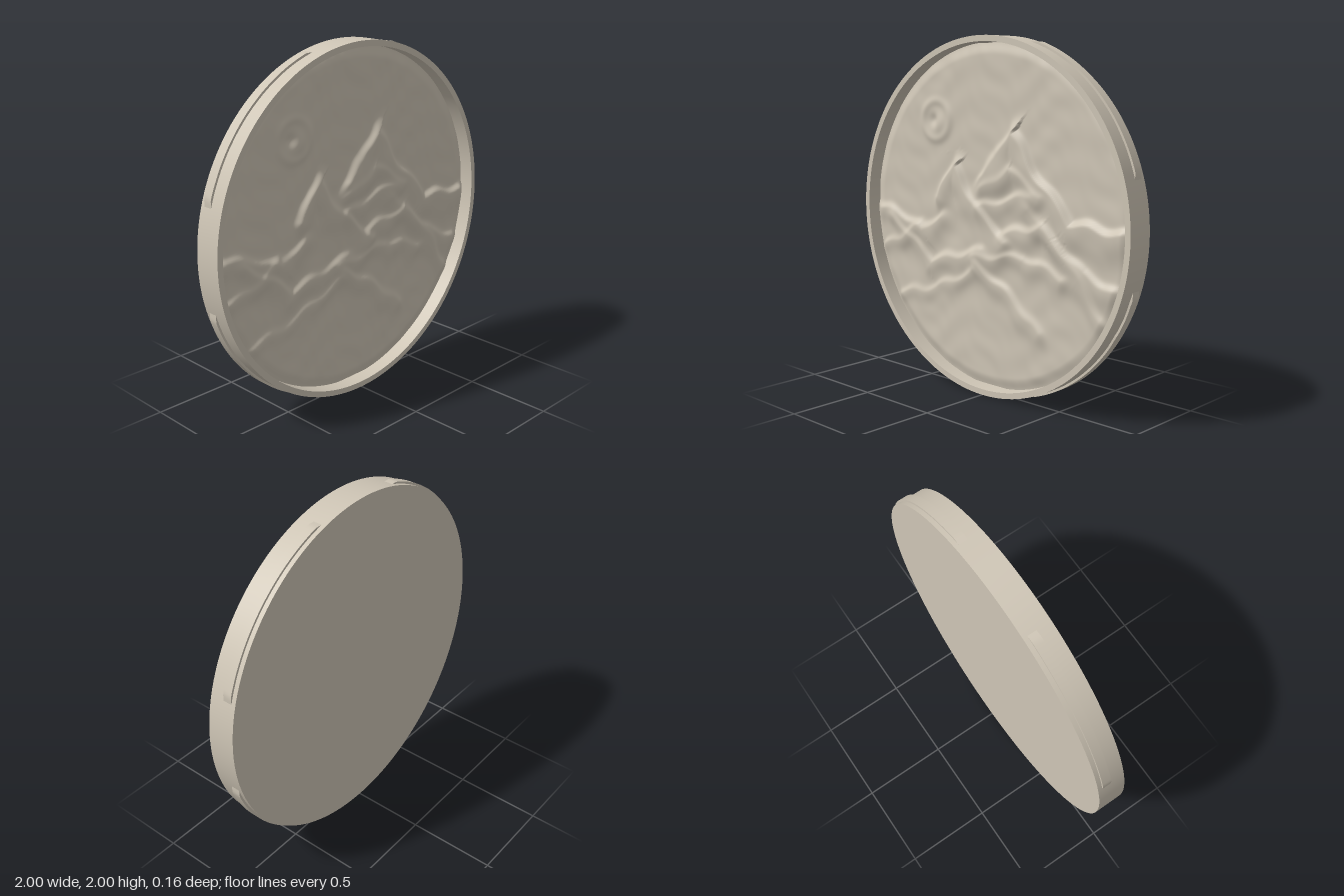
import * as THREE from 'three';
import { toCreasedNormals } from 'three/addons/utils/BufferGeometryUtils.js';

const HALF = 0.96;      // half width of the square the relief is cut from
const RADIUS = 1.012;   // its corners are rounded to this radius
const FLOOR = -0.055;

// Bump along a line drawn left to right, steep above and gentle below
function ridge(x, y, height, ...points) {
  let best = 1e9, slope = 0;
  for (let i = 0; i < points.length - 1; i++) {
    const [ax, ay] = points[i], [bx, by] = points[i + 1];
    const dx = bx - ax, dy = by - ay, len = Math.hypot(dx, dy);
    const t = THREE.MathUtils.clamp(((x - ax) * dx + (y - ay) * dy) / (len * len), 0, 1);
    const d = Math.hypot(x - ax - dx * t, y - ay - dy * t);
    if (d < best) {
      best = d;
      slope = (dx * (y - ay) - dy * (x - ax)) / (len * Math.max(d, 1e-6));
    }
  }
  const gentle = 0.02 + 2.7 * height;
  const width = THREE.MathUtils.lerp(gentle, 0.026, THREE.MathUtils.clamp(0.5 + 0.5 * slope, 0, 1));
  return height * Math.exp(-((best / width) ** 2));
}

// Mountain range, with y measured from the centre
function mountains(x, y) {
  const summit = ridge(x, y, 0.034, [-0.05, 0.22], [0.07, 0.34], [0.16, 0.48], [0.33, 0.27], [0.57, 0.02], [0.94, -0.01]);
  const leftPeak = ridge(x, y, 0.03, [-0.4, 0.1], [-0.28, 0.26], [-0.08, 0.04], [0.1, -0.13]);
  const foothills = ridge(x, y, 0.022, [-0.95, 0], [-0.7, -0.06], [-0.53, -0.13], [-0.4, -0.04])
    + ridge(x, y, 0.02, [-0.78, -0.08], [-0.48, -0.3], [-0.05, -0.2])
    + ridge(x, y, 0.014, [-0.9, -0.26], [-0.55, -0.1]);
  const crags = ridge(x, y, 0.018, [-0.04, 0.16], [0.16, 0.28], [0.36, 0.15])
    + ridge(x, y, 0.018, [-0.05, 0.05], [0.3, 0.15]);
  const rightSpurs = ridge(x, y, 0.022, [0.12, -0.08], [0.4, -0.02], [0.66, -0.23], [0.9, -0.32])
    + ridge(x, y, 0.018, [0.3, 0.08], [0.5, -0.1], [0.84, -0.52]);
  const foreground = ridge(x, y, 0.018, [-0.1, -0.24], [0.25, -0.2], [0.52, -0.27])
    + ridge(x, y, 0.02, [-0.08, -0.29], [0.12, -0.41], [0.38, -0.6])
    + ridge(x, y, 0.013, [-0.75, -0.53], [-0.42, -0.46], [-0.12, -0.32]);
  const sum = summit + leftPeak + foothills + crags + rightSpurs + foreground;
  return 0.05 * Math.tanh(sum / 0.05);
}

const bump = (x, y, cx, cy, r) => Math.exp(-((x - cx) ** 2 + (y - cy) ** 2) / (r * r));

// Moon: shallow ring, dome and off-centre hollow
function moon(x, y) {
  const ring = 0.007 * Math.exp(-(((Math.hypot(x + 0.43, y - 0.53) - 0.11) / 0.025) ** 2));
  return ring + 0.014 * bump(x, y, -0.41, 0.51, 0.07) - 0.016 * bump(x, y, -0.45, 0.53, 0.035);
}

// Hand-worked surface ripples
const ripple = (x, y) =>
  0.0011 * Math.sin(23 * x + 9 * y + 2 * Math.sin(7 * y)) +
  0.0011 * Math.sin(31 * y - 11 * x + 2 * Math.sin(9 * x)) +
  0.0006 * Math.sin(53 * x + 37 * y + 3 * Math.sin(13 * x - 5 * y));

function reliefHeight(x, y) {
  // wavering the coordinates makes the ridge lines craggy
  const wx = x + 0.014 * Math.sin(21 * y + 5 * x), wy = y + 0.014 * Math.sin(25 * x - 4 * y);
  const h = mountains(wx, wy) + moon(x, y) + ripple(x, y);
  // rounded shoulder next to the rim
  const edge = THREE.MathUtils.smoothstep(Math.hypot(x, y), 0.9, 0.98);
  return 0.012 + h * (1 - 0.7 * edge) - 0.016 * edge;
}

// Relief face: a fine grid trimmed to the rounded square
function reliefFace() {
  const geometry = new THREE.PlaneGeometry(2 * HALF, 2 * HALF, 220, 220);
  const pos = geometry.attributes.position;
  const outside = [];
  for (let i = 0; i < pos.count; i++) {
    let x = pos.getX(i), y = pos.getY(i);
    const r = Math.hypot(x, y);
    outside[i] = r > RADIUS;
    if (outside[i]) { x *= RADIUS / r; y *= RADIUS / r; }
    pos.setXYZ(i, x, y, reliefHeight(x, y));
  }
  const kept = [], index = geometry.index.array;
  for (let i = 0; i < index.length; i += 3) {
    const tri = [index[i], index[i + 1], index[i + 2]];
    if (!tri.every((v) => outside[v])) kept.push(...tri);
  }
  geometry.setIndex(kept);
  geometry.computeVertexNormals();
  return geometry;
}

// Edge of the relief, whose corners break through the rim
function reliefEdge() {
  const geometry = new THREE.CylinderGeometry(1, 1, 2, 360, 1).rotateX(Math.PI / 2);
  const pos = geometry.attributes.position;
  for (let i = 0; i < pos.count; i++) {
    const x = pos.getX(i), y = pos.getY(i), top = pos.getZ(i) > 0;
    if (Math.hypot(x, y) < 0.5) {
      pos.setZ(i, FLOOR);
      continue;
    }
    const r = Math.min(RADIUS, HALF / Math.max(Math.abs(x), Math.abs(y)));
    pos.setXYZ(i, x * r, y * r, top ? reliefHeight(x * r, y * r) : FLOOR);
  }
  geometry.computeVertexNormals();
  return geometry;
}

export function createModel() {
  const model = new THREE.Group();
  model.name = 'mountainMedallion';
  const stone = new THREE.MeshStandardMaterial({ color: 0xcfc6b6 });
  stone.name = 'warm stone';

  const add = (name, geometry) => {
    const mesh = new THREE.Mesh(geometry, stone);
    mesh.name = name;
    mesh.position.y = 1;
    model.add(mesh);
  };

  // Raised rim and flat back in one turned profile
  const profile = [[0, -0.08], [1, -0.08], [1, 0.08], [0.967, 0.08], [0.967, FLOOR - 0.005], [0, FLOOR - 0.005]]
    .map(([r, z]) => new THREE.Vector2(r, z));
  add('rimAndBack', toCreasedNormals(new THREE.LatheGeometry(profile, 160).rotateX(Math.PI / 2), 0.6));
  add('landscapeRelief', reliefFace());
  add('reliefEdge', reliefEdge());
  return model;
}
